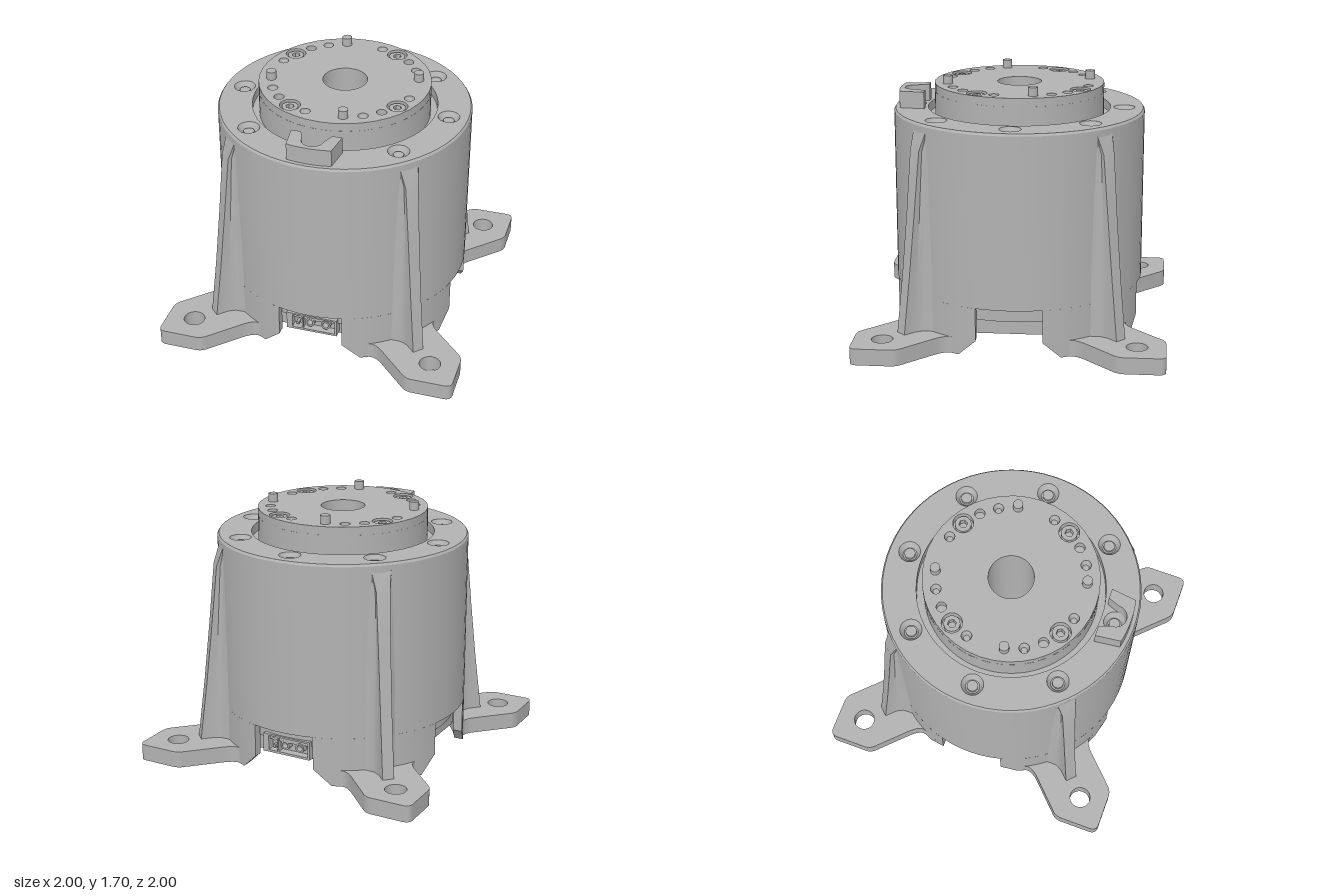
import * as THREE from 'three';
import { toCreasedNormals } from 'three/addons/utils/BufferGeometryUtils.js';

export function createModel() {
  const root = new THREE.Group();
  const grey = new THREE.MeshStandardMaterial({ color: 0xb2b2b2 });
  grey.name = 'machined grey';

  const add = (name, geo, x = 0, y = 0, z = 0, turn = 0) => {
    const m = new THREE.Mesh(geo, grey);
    m.name = name;
    m.position.set(x, y, z);
    m.rotation.y = turn;
    root.add(m);
    return m;
  };
  const crease = (g) => toCreasedNormals(g, 0.5);
  const lathe = (pts, seg = 72) =>
    crease(new THREE.LatheGeometry(pts.map((p) => new THREE.Vector2(p[0], p[1])), seg));
  // Horizontal plate: shape y becomes -z, thickness goes up
  const plate = (shape, depth, seg = 18) =>
    new THREE.ExtrudeGeometry(shape, { depth, bevelEnabled: false, curveSegments: seg }).rotateX(-Math.PI / 2);
  const circle = (x, y, r) => new THREE.Path().absarc(x, y, r, 0, Math.PI * 2, false);
  const disc = (r) => new THREE.Shape().absarc(0, 0, r, 0, Math.PI * 2, false);
  const rect = (C, x0, y0, x1, y1) =>
    new C([[x0, y0], [x1, y0], [x1, y1], [x0, y1]].map((p) => new THREE.Vector2(p[0], p[1])));
  const Q = Math.PI / 2, deg = Math.PI / 180;
  const quarter = (fn) => { for (let k = 0; k < 4; k++) fn(k * Q, k); };

  // Outer housing shell above the windows
  add('housingShell', lathe([[0.77, 0.33], [0.83, 0.33], [0.83, 1.465], [0.82, 1.48], [0.77, 1.47], [0.77, 0.33]]));

  // Lower housing walls between the windows
  const R = 0.83, r = 0.77, a0 = Math.asin(0.215 / R), b0 = Math.asin(0.215 / r);
  const wall = new THREE.Shape();
  wall.absarc(0, 0, R, a0, Q - a0, false);
  wall.absarc(0, 0, r, Q - b0, b0, true);
  const wallGeo = crease(plate(wall, 0.22));

  // Mounting feet: wall foot plus rounded corner lug with a bolt hole
  const foot = new THREE.Shape();
  foot.absarc(0, 0, R, a0, 27 * deg, false);
  foot.quadraticCurveTo(0.72, 0.42, 0.79, 0.49);
  foot.lineTo(0.97, 0.67);
  foot.quadraticCurveTo(1, 0.7, 1, 0.74);
  foot.lineTo(1, 0.95);
  foot.quadraticCurveTo(1, 1, 0.95, 1);
  foot.lineTo(0.74, 1);
  foot.quadraticCurveTo(0.7, 1, 0.67, 0.97);
  foot.lineTo(0.49, 0.79);
  foot.quadraticCurveTo(0.42, 0.72, R * Math.cos(63 * deg), R * Math.sin(63 * deg));
  foot.absarc(0, 0, R, 63 * deg, Q - a0, false);
  foot.absarc(0, 0, r, Q - b0, b0, true);
  foot.holes.push(circle(0.815, 0.815, 0.07));
  const footGeo = plate(foot, 0.11);
  // Slope the window side of each foot outwards at the floor
  const fp = footGeo.attributes.position;
  for (let i = 0; i < fp.count; i++) {
    const x = fp.getX(i), z = fp.getZ(i), rad = Math.hypot(x, z);
    if (fp.getY(i) > 0.05) continue;
    const side = Math.sqrt(rad * rad - 0.33 * 0.33);
    if (x < 0.33) { fp.setX(i, 0.33); fp.setZ(i, -side); }
    else if (-z < 0.33) { fp.setX(i, side); fp.setZ(i, -0.33); }
  }
  const footFinal = crease(footGeo);

  // Tapered corner rib with concave root fillets, from level cross-sections
  const ribPos = [], ribIdx = [];
  const levels = [[0.11, 1.005, 0.038], [0.5, 0.955, 0.038], [0.9, 0.91, 0.04], [1.31, 0.868, 0.045], [1.475, 0.81, 0.07]];
  levels.forEach(([y, tip, w]) => {
    const f = tip - 0.815;
    const half = [[0.8, 0.13], [0.815, 0.11], [0.815 + 0.12 * f, 0.085], [0.815 + 0.3 * f, w + 0.015], [0.815 + 0.55 * f, w], [tip, w]];
    const loop = [...half.map(([u, v]) => [u, -v]), ...half.slice().reverse()];
    loop.forEach(([u, v]) => ribPos.push(u, y, v));
  });
  for (let j = 0; j < levels.length - 1; j++) {
    for (let i = 0; i < 11; i++) {
      const a = j * 12 + i, b = a + 1, c = a + 12, d = c + 1;
      ribIdx.push(a, c, b, b, c, d);
    }
  }
  const rib = new THREE.BufferGeometry();
  rib.setAttribute('position', new THREE.Float32BufferAttribute(ribPos, 3));
  rib.setIndex(ribIdx);
  const ribGeo = crease(rib);

  quarter((t) => {
    add('housingWall', wallGeo, 0, 0.11, 0, t);
    add('mountingFoot', footFinal, 0, 0, 0, t);
    add('cornerRib', ribGeo, 0, 0, 0, t + Q / 2);
  });

  // Top flange ring with eight countersunk screws
  const ring = disc(0.82);
  ring.holes.push(circle(0, 0, 0.605));
  const screwSeat = lathe([[0.07, 1.479], [0.045, 1.435], [0.035, 1.435], [0.035, 1.455], [0, 1.455]], 24);
  for (let i = 0; i < 8; i++) {
    const x = 0.695 * Math.cos(i * Q / 2), z = 0.695 * Math.sin(i * Q / 2);
    ring.holes.push(circle(x, z, 0.07));
    add('flangeScrew', screwSeat, x, 0, z);
  }
  add('flangeRing', crease(plate(ring, 0.06, 32)), 0, 1.42, 0);

  // Inner core with the through bore and the rotor neck
  add('core', lathe([[0.145, 0.23], [0.755, 0.23], [0.755, 1.42], [0.56, 1.42], [0.56, 1.59], [0.145, 1.59], [0.145, 0.23]]));

  // Rotor face with its bolt pattern, repeated four times
  const face = disc(0.56);
  face.holes.push(circle(0, 0, 0.145));
  const head = disc(0.052);
  head.holes.push(new THREE.Path(Array.from({ length: 6 }, (_, i) =>
    new THREE.Vector2(0.028 * Math.cos(i * Math.PI / 3), 0.028 * Math.sin(i * Math.PI / 3)))));
  const headGeo = crease(plate(head, 0.045, 12));
  const pinGeo = new THREE.CylinderGeometry(0.032, 0.032, 0.12, 20);
  const holeSeat = lathe([[0.033, 1.635], [0.02, 1.6], [0, 1.6]], 16);
  quarter((t) => {
    const at = (angle) => [0.477 * Math.cos(angle * deg + t), 0.477 * Math.sin(angle * deg + t)];
    const cut = (angle, rad) => {
      const [x, z] = at(angle);
      face.holes.push(circle(x, -z, rad));
      return [x, z];
    };
    for (const angle of [15, 60]) {
      const [x, z] = cut(angle, 0.033);
      add('threadedHole', holeSeat, x, 0, z);
    }
    cut(45, 0.033);
    const [sx, sz] = cut(30, 0.066);
    add('socketScrew', headGeo, sx, 1.59, sz);
    const [px, pz] = at(75);
    add('locatingPin', pinGeo, px, 1.64, pz);
  });
  add('rotorFace', crease(plate(face, 0.055, 20)), 0, 1.59, 0);

  // Bottom plate with flats facing the windows and paired screw holes
  const base = new THREE.Shape();
  quarter((t) => base.absarc(0, 0, 0.755, t + 21 * deg, t + 69 * deg, false));
  base.holes.push(circle(0, 0, 0.145));
  quarter((t) => [-7, 7].forEach((d) => {
    const a = t + (45 + d) * deg;
    base.holes.push(circle(0.68 * Math.cos(a), 0.68 * Math.sin(a), 0.024));
  }));
  add('bottomPlate', crease(plate(base, 0.1)), 0, 0.13, 0);
  add('boreCollar', lathe([[0.145, 0.12], [0.168, 0.12], [0.168, 0.135], [0.145, 0.135], [0.145, 0.12]], 48));

  // Connectors in the front and back windows
  const frame = rect(THREE.Shape, -0.175, 0.145, 0.17, 0.27);
  frame.holes.push(rect(THREE.Path, -0.135, 0.16, -0.07, 0.258), rect(THREE.Path, -0.06, 0.16, 0.155, 0.258));
  const frameGeo = new THREE.ExtrudeGeometry(frame, { depth: 0.06, bevelEnabled: false });
  const socket = disc(0.032);
  socket.holes.push(circle(0, 0, 0.02));
  const socketGeo = crease(new THREE.ExtrudeGeometry(socket, { depth: 0.05, bevelEnabled: false, curveSegments: 10 }));
  const contactGeo = new THREE.BoxGeometry(0.018, 0.018, 0.05);
  for (const turn of [0, Math.PI]) {
    const g = new THREE.Group();
    g.name = 'connector';
    g.rotation.y = turn;
    const put = (name, geo, x, y, z) => g.add(add(name, geo, x, y, z));
    put('connectorBack', new THREE.BoxGeometry(0.34, 0.12, 0.1), 0, 0.207, 0.66);
    put('connectorFrame', frameGeo, 0, 0, 0.705);
    for (const x of [-0.018, 0.09]) put('roundSocket', socketGeo, x, 0.21, 0.705);
    for (const y of [0.185, 0.235]) put('squareContact', contactGeo, -0.103, y, 0.725);
    root.add(g);
  }

  // U-shaped clip around the front flange screw
  const clip = new THREE.Shape();
  clip.moveTo(-0.165, -0.615);
  clip.lineTo(-0.145, -0.78);
  clip.quadraticCurveTo(0, -0.81, 0.145, -0.78);
  clip.lineTo(0.165, -0.615);
  clip.lineTo(0.1, -0.615);
  clip.lineTo(0.07, -0.695);
  clip.absarc(0, -0.695, 0.07, 0, -Math.PI, true);
  clip.lineTo(-0.1, -0.615);
  add('frontClip', crease(plate(clip, 0.113)), 0, 1.478, 0);

  return root;
}
